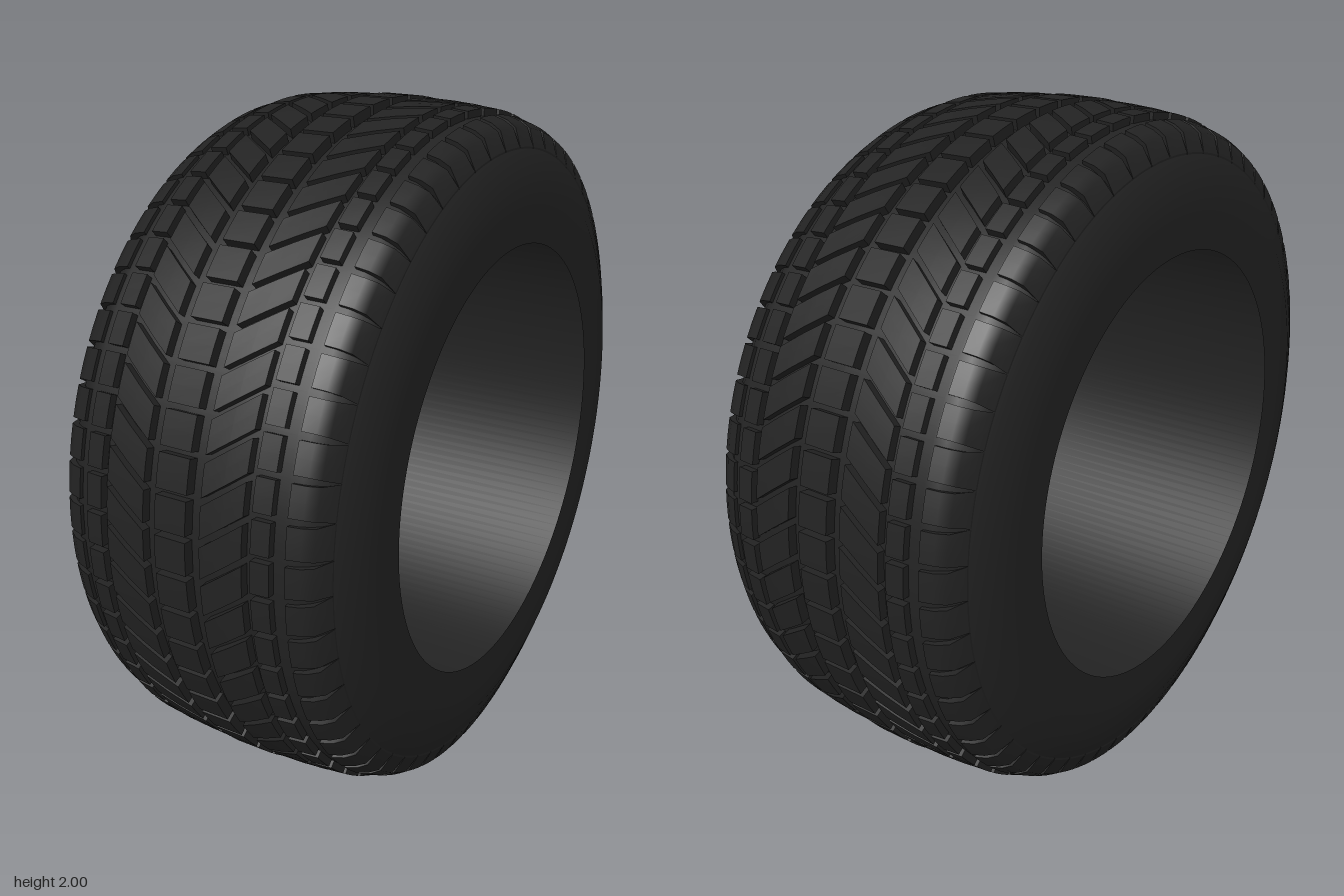
import * as THREE from 'three';
import { mergeGeometries } from 'three/addons/utils/BufferGeometryUtils.js';

const COUNT = 60;                       // tread blocks per row
const PITCH = (Math.PI * 2) / COUNT;

// One tread block. Each section across the tread is [x, radius, slit width, angular shift].
function blockGeometry(sections, angle) {
  const n = sections.length - 1;
  const geo = new THREE.BoxGeometry(1, 1, 1, n, 1, 2);
  const pos = geo.attributes.position;
  for (let i = 0; i < pos.count; i++) {
    const [x, r, gap, shift] = sections[Math.round((pos.getX(i) + 0.5) * n)];
    const radius = pos.getY(i) > 0 ? r : r - 0.04;
    const a = angle + shift + pos.getZ(i) * (PITCH - gap);
    pos.setXYZ(i, x, radius * Math.cos(a), radius * Math.sin(a));
  }
  geo.computeVertexNormals();
  return geo;
}

// A full ring of blocks, with a slit at every multiple of the pitch
function rowGeometry(sections) {
  const blocks = [];
  for (let k = 0; k < COUNT; k++) blocks.push(blockGeometry(sections, (k + 0.5) * PITCH));
  return mergeGeometries(blocks);
}

// Revolve a profile of [x, radius] points around the x axis
function revolve(points) {
  const geo = new THREE.LatheGeometry(points.map(([x, r]) => new THREE.Vector2(r, x)), 180);
  return geo.rotateZ(-Math.PI / 2);
}

export function createModel() {
  const tire = new THREE.Group();
  tire.name = 'tire';
  const rubber = new THREE.MeshStandardMaterial({ color: 0x222222 });
  const thinRubber = new THREE.MeshStandardMaterial({ color: 0x222222, side: THREE.DoubleSide });
  const add = (name, geo, material = rubber) => {
    const mesh = new THREE.Mesh(geo, material);
    mesh.name = name;
    mesh.position.y = 1;
    tire.add(mesh);
  };

  // Carcass: thin sidewalls, shoulders and the floor of the grooves
  const half = [[0, 0.971], [0.15, 0.969], [0.3, 0.96], [0.33, 0.95], [0.36, 0.928],
    [0.386, 0.9], [0.402, 0.865], [0.427, 0.8], [0.427, 0.72], [0.427, 0.63]];
  const mirrored = half.slice(1).reverse().map(([x, r]) => [-x, r]);
  add('carcass', revolve([...mirrored, ...half]), thinRubber);

  // Inner wall of the hollow, set back behind the sidewall openings
  add('innerWall', revolve([[0.427, 0.78], [-0.427, 0.78]]));

  // Tread rows
  add('centreRib', rowGeometry([[-0.046, 1, 0.016, 0], [0.046, 1, 0.016, 0]]));
  const sideRows = {
    chevronRow: [[0.085, 0.996, 0.02, 0], [0.145, 0.994, 0.02, -0.043], [0.203, 0.99, 0.02, -0.086]],
    smallBlockRow: [[0.225, 0.987, 0.018, 0], [0.275, 0.982, 0.018, 0]],
    shoulderRow: [[0.31, 0.968, 0.02, 0], [0.345, 0.957, 0.02, 0], [0.372, 0.94, 0.016, 0],
      [0.393, 0.89, 0.002, 0]],
  };
  for (const [name, sections] of Object.entries(sideRows)) {
    add(name + 'Left', rowGeometry(sections));
    add(name + 'Right', rowGeometry(sections.map(([x, ...rest]) => [-x, ...rest]).reverse()));
  }
  return tire;
}
